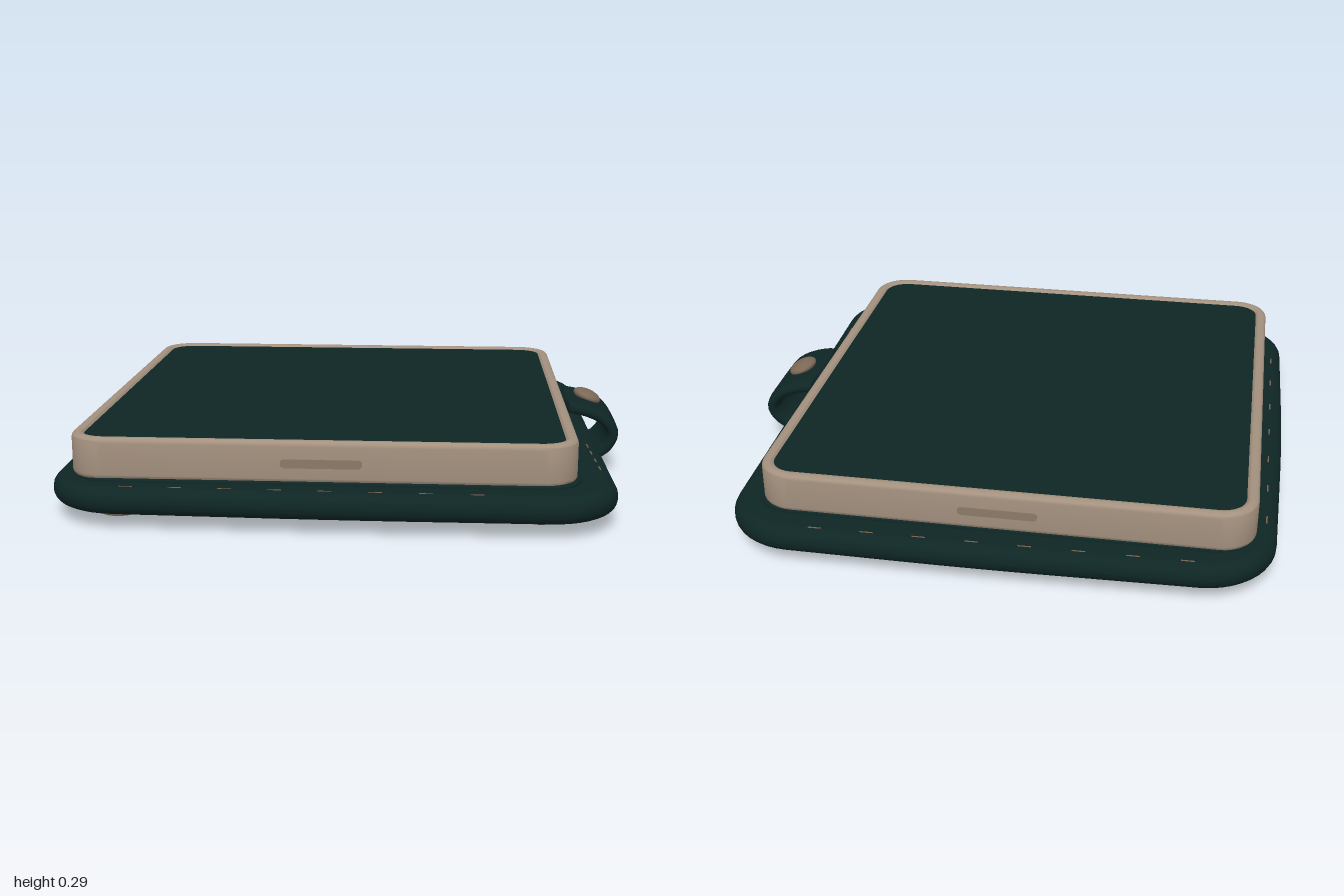
import * as THREE from 'three';
import { toCreasedNormals } from 'three/addons/utils/BufferGeometryUtils.js';

const material = (name, color) => {
  const m = new THREE.MeshStandardMaterial({ color });
  m.name = name;
  return m;
};

// Closed outline through [x, y] corners, each rounded by r
function outline(points, r, Type = THREE.Shape) {
  const path = new Type();
  const v = points.map(p => new THREE.Vector2(...p));
  const n = v.length;
  const toward = (a, b) => a.clone().add(b.clone().sub(a).setLength(r));
  v.forEach((p, i) => {
    const a = toward(p, v[(i + n - 1) % n]);
    const b = toward(p, v[(i + 1) % n]);
    if (i === 0) path.moveTo(a.x, a.y);
    else path.lineTo(a.x, a.y);
    // circular-looking corner
    const k = 0.56;
    path.bezierCurveTo(
      a.x + (p.x - a.x) * k, a.y + (p.y - a.y) * k,
      b.x + (p.x - b.x) * k, b.y + (p.y - b.y) * k, b.x, b.y);
  });
  path.closePath();
  return path;
}

const rect = (x0, x1, z0, z1) => [[x0, -z1], [x1, -z1], [x1, -z0], [x0, -z0]];

// Horizontal slab between two heights with a rounded edge
function slab(shape, y0, y1, bevel) {
  const g = new THREE.ExtrudeGeometry(shape, {
    depth: y1 - y0 - 2 * bevel, bevelEnabled: bevel > 0, bevelThickness: bevel,
    bevelSize: bevel, bevelOffset: -bevel, bevelSegments: 5, curveSegments: 10,
  });
  g.rotateX(-Math.PI / 2).translate(0, y0 + bevel, 0);
  return toCreasedNormals(g, 0.7);
}

// Band swept along an x-y curve, with rounded cross-section and ends
function strapGeometry() {
  const curve = new THREE.CatmullRomCurve3([
    [-0.04, 0.042], [0.3, 0.038], [0.68, 0.037], [0.85, 0.05], [0.94, 0.09],
    [0.972, 0.15], [0.945, 0.2], [0.88, 0.234], [0.785, 0.254],
  ].map(([x, y]) => new THREE.Vector3(x, y, 0)));
  const rows = 70, sides = 20, pos = [], index = [];
  const power = (c, e) => Math.sign(c) * Math.abs(c) ** e;
  for (let i = 0; i <= rows; i++) {
    const t = i / rows;
    const p = curve.getPointAt(t), d = curve.getTangentAt(t);
    const end = Math.min(t, 1 - t) / 0.03;
    const cap = end >= 1 ? 1 : Math.sqrt(Math.max(0, 1 - (1 - end) ** 2));
    const half = THREE.MathUtils.lerp(0.13, 0.175, THREE.MathUtils.smoothstep(t, 0.55, 0.85));
    const w = i % rows ? half * (0.7 + 0.3 * cap) : 0;
    const h = i % rows ? 0.023 * (0.35 + 0.65 * cap) : 0;
    for (let j = 0; j < sides; j++) {
      const a = j / sides * Math.PI * 2;
      const s = power(Math.sin(a), 0.6) * h;
      pos.push(p.x - d.y * s, p.y + d.x * s, power(Math.cos(a), 0.3) * w);
    }
  }
  for (let i = 0; i < rows; i++) for (let j = 0; j < sides; j++) {
    const a = i * sides + j, b = i * sides + (j + 1) % sides;
    index.push(a, a + sides, b, b, a + sides, b + sides);
  }
  const g = new THREE.BufferGeometry();
  g.setAttribute('position', new THREE.Float32BufferAttribute(pos, 3));
  g.setIndex(index);
  return toCreasedNormals(g, 0.8);
}

export function createModel() {
  const model = new THREE.Group();
  model.name = 'padWithStrap';
  const green = material('darkGreen', 0x0e2625);
  const tan = material('warmTan', 0xa4917f);
  const shade = material('recessTan', 0x8c7a6a);
  const bronze = material('buttonBronze', 0x7c6856);
  const black = material('portBlack', 0x161515);
  const thread = material('stitchThread', 0x7d5f49);
  green.side = THREE.DoubleSide;

  const add = (name, geometry, mat, parent = model) => {
    const mesh = new THREE.Mesh(geometry, mat);
    mesh.name = name;
    parent.add(mesh);
    return mesh;
  };

  // Soft base with slightly bowed edges
  const baseShape = outline([
    [-0.985, -0.965], [0, -0.99], [0.925, -0.985], [0.905, 0],
    [0.89, 0.995], [0, 1], [-0.98, 0.975], [-1, 0],
  ], 0.24);
  add('base', slab(baseShape, 0.05, 0.142, 0.042), green);
  add('mountingPad', slab(outline(rect(-0.9, 0.8, -0.88, 0.88), 0.13), 0.13, 0.154, 0.008), green);

  // Tan case: rim with an inset panel
  const frame = outline(rect(-0.915, 0.785, -0.88, 0.875), 0.125);
  frame.holes.push(outline(rect(-0.871, 0.741, -0.838, 0.832), 0.085, THREE.Path));
  add('caseFrame', slab(frame, 0.146, 0.29, 0.018), tan);
  add('topPanel', slab(outline(rect(-0.885, 0.755, -0.85, 0.845), 0.09), 0.16, 0.281, 0), green);

  // Thin recess plates on the case walls
  const plate = (name, mat, w, h, x, y, z, turn) => {
    const shape = outline([[-w / 2, -h / 2], [w / 2, -h / 2], [w / 2, h / 2], [-w / 2, h / 2]], h * 0.45);
    const g = new THREE.ExtrudeGeometry(shape, { depth: 0.004, bevelEnabled: false, curveSegments: 5 });
    const mesh = add(name, g, mat);
    mesh.position.set(x, y, z);
    mesh.rotation.y = turn;
  };
  plate('frontSlot', shade, 0.27, 0.03, -0.06, 0.215, 0.874, 0);
  plate('backSlot', shade, 0.27, 0.03, -0.06, 0.215, -0.879, Math.PI);
  plate('sideSlotLong', shade, 0.19, 0.035, 0.784, 0.22, 0.49, Math.PI / 2);
  plate('sideSlotShort', shade, 0.13, 0.035, 0.784, 0.222, 0.3, Math.PI / 2);
  for (const z of [-0.455, -0.565]) {
    plate('port', black, 0.085, 0.035, 0.784, 0.22, z, Math.PI / 2);
    plate('portTongue', shade, 0.055, 0.01, 0.786, 0.221, z, Math.PI / 2);
  }

  // Closing strap and its button
  add('strap', strapGeometry(), green);
  const button = add('button', new THREE.SphereGeometry(1, 24, 14), bronze);
  button.scale.set(0.054, 0.024, 0.064);
  button.position.set(0.886, 0.262, -0.01);
  button.rotation.z = -0.38;

  // Four feet
  const footProfile = [[0, 0], [0.07, 0], [0.084, 0.012], [0.086, 0.06], [0, 0.06]]
    .map(([x, y]) => new THREE.Vector2(x, y));
  const footGeometry = toCreasedNormals(new THREE.LatheGeometry(footProfile, 12), 0.6);
  for (const x of [-0.765, 0.665]) for (const z of [-0.735, 0.735])
    add('foot', footGeometry, tan).position.set(x, 0, z);

  // Sparse stitching around the base: start, end, dash count
  const seams = [
    [[-0.7, -0.94], [0.55, -0.955], 8], [[-0.7, 0.925], [0.45, 0.945], 8],
    [[-0.948, -0.65], [-0.95, 0.6], 7], [[0.855, -0.57], [0.86, -0.3], 3],
    [[0.862, 0.3], [0.875, 0.6], 4],
  ];
  const stitches = new THREE.Group();
  stitches.name = 'stitching';
  model.add(stitches);
  const dash = new THREE.BoxGeometry(0.045, 0.004, 0.005);
  for (const [[x0, z0], [x1, z1], count] of seams) for (let i = 0; i < count; i++) {
    const t = i / (count - 1);
    const mesh = add('stitch', dash, thread, stitches);
    mesh.position.set(x0 + (x1 - x0) * t, 0.141, z0 + (z1 - z0) * t);
    mesh.rotation.y = -Math.atan2(z1 - z0, x1 - x0);
  }
  return model;
}
